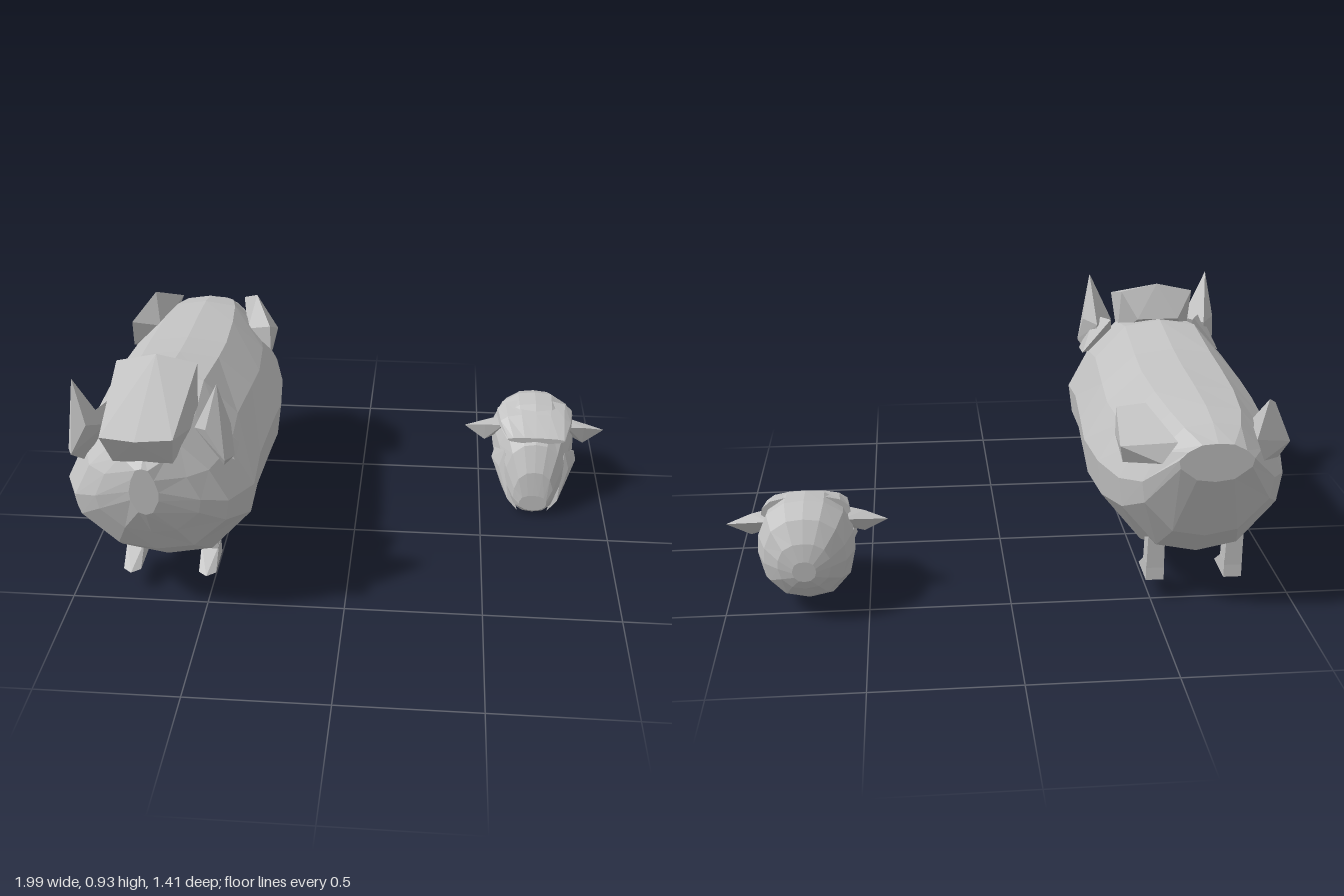
import * as THREE from 'three';
import { ConvexGeometry } from 'three/addons/geometries/ConvexGeometry.js';

// Half cross-sections from top to bottom: [side, height], both from -1 to 1
const BODY_PROFILE = [[0, 1], [0.42, 0.93], [0.77, 0.52], [1, 0], [0.95, -0.37], [0.5, -0.9], [0, -1]];
const HEAD_PROFILE = [[0, 1], [0.4, 0.96], [0.78, 0.74], [0.97, 0.35], [1, 0], [0.88, -0.5], [0.5, -0.9], [0, -1]];

// Skin over sections [z, top, middle, bottom, halfWidth], ordered front to back
function loft(sections, half) {
  const mirrored = half.slice(1, -1).reverse().map(([u, v]) => [-u, v]);
  const profile = [...half, ...mirrored];
  const n = profile.length;
  const pos = [], idx = [];
  for (const [z, top, mid, bot, w] of sections) {
    for (const [u, v] of profile) {
      pos.push(u * w, mid + v * (v > 0 ? top - mid : mid - bot), z);
    }
  }
  const last = sections.length - 1;
  const front = pos.length / 3, back = front + 1;
  for (const s of [sections[0], sections[last]]) pos.push(0, s[2], s[0]);
  for (let j = 0; j < n; j++) {
    const k = (j + 1) % n;
    for (let i = 0; i < last; i++) {
      const a = i * n + j, b = i * n + k;
      idx.push(a, b, a + n, b, b + n, a + n);
    }
    idx.push(front, k, j, back, last * n + j, last * n + k);
  }
  const g = new THREE.BufferGeometry();
  g.setAttribute('position', new THREE.Float32BufferAttribute(pos, 3));
  g.setIndex(idx);
  const flat = g.toNonIndexed();
  flat.computeVertexNormals();
  return flat;
}

// Faceted solid around a few corner points; side = -1 mirrors it in x
function solid(points, side = 1) {
  return new ConvexGeometry(points.map(([x, y, z]) => new THREE.Vector3(x * side, y, z)));
}

export function createModel() {
  const model = new THREE.Group();
  const grey = new THREE.MeshStandardMaterial({ color: 0xc2c2c2 });
  grey.name = 'plain grey';
  grey.flatShading = true;

  const animal = new THREE.Group();
  animal.name = 'animalBody';
  animal.position.x = -0.65;
  const looseHead = new THREE.Group();
  looseHead.name = 'separateHead';
  looseHead.position.x = 0.71;
  model.add(animal, looseHead);

  const add = (parent, name, geometry) => {
    const mesh = new THREE.Mesh(geometry, grey);
    mesh.name = name;
    parent.add(mesh);
    return mesh;
  };

  // Plump torso with a blunt keel at the front
  add(animal, 'torso', loft([
    [0.663, 0.67, 0.58, 0.49, 0.05],
    [0.62, 0.7, 0.53, 0.39, 0.18],
    [0.57, 0.73, 0.5, 0.285, 0.265],
    [0.43, 0.77, 0.48, 0.165, 0.33],
    [0.25, 0.808, 0.5, 0.135, 0.327],
    [0.0, 0.772, 0.5, 0.125, 0.343],
    [-0.15, 0.76, 0.48, 0.12, 0.35],
    [-0.35, 0.755, 0.48, 0.13, 0.33],
    [-0.52, 0.745, 0.49, 0.2, 0.285],
    [-0.62, 0.725, 0.52, 0.31, 0.225],
    [-0.705, 0.685, 0.63, 0.55, 0.125],
  ], BODY_PROFILE));

  // Slanted snout block on top of the front
  const snout = [[0, 0.93, 0.34], [0, 0.8, 0.71]];
  for (const s of [-1, 1]) {
    snout.push([s * 0.14, 0.9, 0.34], [s * 0.12, 0.8, 0.69], [s * 0.08, 0.8, 0.29],
      [s * 0.14, 0.7, 0.4], [s * 0.1, 0.68, 0.635]);
  }
  add(animal, 'snout', solid(snout));

  // Rounded belly lump
  const belly = add(animal, 'bellyLump', new THREE.SphereGeometry(1, 10, 6));
  belly.scale.set(0.125, 0.065, 0.19);
  belly.position.set(0, 0.117, -0.02);
  const bellyTip = add(animal, 'bellyTip', new THREE.SphereGeometry(1, 8, 5));
  bellyTip.scale.set(0.08, 0.033, 0.05);
  bellyTip.position.set(0, 0.09, 0.15);

  for (const s of [-1, 1]) {
    // Tall pointed ear hugging the side of the head
    add(animal, 'ear', solid([
      [0.24, 0.925, 0.53], [0.15, 0.74, 0.5], [0.2, 0.77, 0.565], [0.26, 0.66, 0.575],
      [0.285, 0.65, 0.52], [0.24, 0.59, 0.49], [0.27, 0.75, 0.48], [0.22, 0.74, 0.42],
    ], s));
    // Low fold running back from the ear
    add(animal, 'earFold', solid([
      [0.17, 0.77, 0.39], [0.28, 0.63, 0.4], [0.22, 0.76, 0.49], [0.28, 0.62, 0.5], [0.15, 0.65, 0.45],
    ], s));
    // Rear flap
    add(animal, 'rearFlap', solid([
      [0.28, 0.7, -0.39], [0.28, 0.6, -0.39], [0.21, 0.77, -0.54], [0.13, 0.69, -0.695],
      [0.17, 0.6, -0.66], [0.27, 0.54, -0.5], [0.29, 0.62, -0.55], [0.18, 0.66, -0.45],
    ], s));
    // Front and rear legs, each with a wedge foot
    for (const [name, z, top] of [['frontLeg', 0.33, 0.26], ['rearLeg', -0.48, 0.38]]) {
      const leg = add(animal, name, new THREE.CylinderGeometry(0.04, 0.045, top - 0.1, 4, 1));
      leg.geometry.rotateY(Math.PI / 4);
      leg.position.set(s * 0.14, (top + 0.1) / 2, z);
      const foot = [];
      for (const x of [0.108, 0.172]) {
        foot.push([x, 0.085, z - 0.035], [x, 0.085, z + 0.1], [x, 0.15, z - 0.03], [x, 0.15, z + 0.02]);
      }
      foot.push([0.14, 0.085, z + 0.125]);
      add(animal, name + 'Foot', solid(foot, s));
    }
  }

  // Separate head: domed skull narrowing at the eyes, then a long muzzle
  add(looseHead, 'skull', loft([
    [-0.15, 0.1, 0.06, 0.03, 0.055],
    [-0.165, 0.2, 0.08, 0.015, 0.08],
    [-0.215, 0.3, 0.13, 0.002, 0.115],
    [-0.29, 0.365, 0.19, 0.005, 0.145],
    [-0.36, 0.408, 0.21, 0.015, 0.163],
    [-0.45, 0.413, 0.22, 0.035, 0.168],
    [-0.53, 0.38, 0.22, 0.085, 0.14],
    [-0.575, 0.31, 0.22, 0.14, 0.09],
    [-0.592, 0.25, 0.21, 0.175, 0.04],
  ], HEAD_PROFILE));

  // Brow ridge over the eyes
  add(looseHead, 'brow', loft([
    [-0.225, 0.325, 0.315, 0.3, 0.115],
    [-0.31, 0.385, 0.335, 0.31, 0.145],
    [-0.4, 0.405, 0.34, 0.31, 0.155],
  ], HEAD_PROFILE));

  for (const s of [-1, 1]) {
    // Sideways ear blade
    add(looseHead, 'headEar', solid([
      [0.283, 0.293, -0.37], [0.12, 0.32, -0.42], [0.13, 0.325, -0.32],
      [0.2, 0.24, -0.35], [0.2, 0.315, -0.34], [0.13, 0.27, -0.37],
    ], s));
    // Cheek ridge from the eye down to the jaw
    add(looseHead, 'cheek', solid([
      [0.12, 0.25, -0.25], [0.16, 0.24, -0.29], [0.17, 0.2, -0.28], [0.14, 0.18, -0.24],
      [0.155, 0.2, -0.35], [0.1, 0.06, -0.18], [0.125, 0.09, -0.24], [0.06, 0.02, -0.165],
    ], s));
  }

  // Lower lip
  const lip = add(looseHead, 'lip', new THREE.SphereGeometry(1, 8, 5));
  lip.scale.set(0.065, 0.022, 0.03);
  lip.position.set(0, 0.035, -0.18);

  return model;
}
